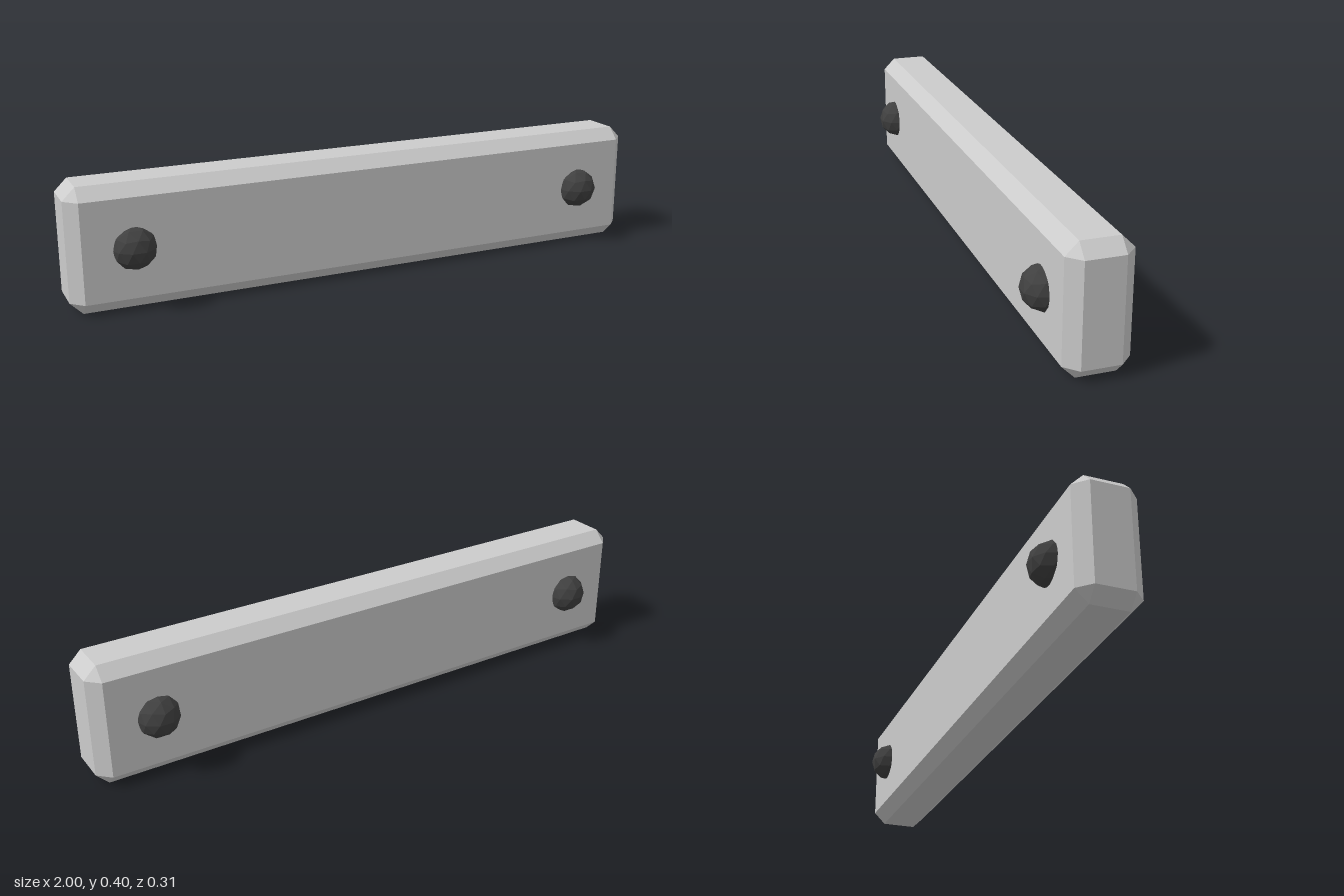
import * as THREE from 'three';
import { ConvexGeometry } from 'three/addons/geometries/ConvexGeometry.js';

// Box with every edge and corner cut by a chamfer of width c
function chamferedBox(w, h, d, c) {
  const [x, y, z] = [w / 2, h / 2, d / 2];
  const points = [];
  for (const sx of [-1, 1]) for (const sy of [-1, 1]) for (const sz of [-1, 1]) {
    points.push(
      new THREE.Vector3(sx * x, sy * (y - c), sz * (z - c)),
      new THREE.Vector3(sx * (x - c), sy * y, sz * (z - c)),
      new THREE.Vector3(sx * (x - c), sy * (y - c), sz * z),
    );
  }
  return new ConvexGeometry(points);
}

export function createModel() {
  const model = new THREE.Group();
  model.name = 'studdedPlank';

  // Plank
  const plankMaterial = new THREE.MeshStandardMaterial({ color: 0xcccccc, flatShading: true });
  const plank = new THREE.Mesh(chamferedBox(2, 0.4, 0.2, 0.04), plankMaterial);
  plank.name = 'plank';
  plank.position.y = 0.2;
  model.add(plank);

  // Faceted studs near both ends, on front and back, with a vertex pointing up
  const studMaterial = new THREE.MeshStandardMaterial({ color: 0x404040, flatShading: true });
  const studGeometry = new THREE.IcosahedronGeometry(0.07, 1);
  studGeometry.rotateX(Math.atan((1 + Math.sqrt(5)) / 2));
  for (const [side, x] of [['Left', 0.8], ['Right', -0.8]]) {
    for (const [face, z] of [['front', 0.09], ['back', -0.09]]) {
      const stud = new THREE.Mesh(studGeometry, studMaterial);
      stud.name = `${face}${side}Stud`;
      stud.position.set(x, 0.2, z);
      model.add(stud);
    }
  }
  return model;
}
